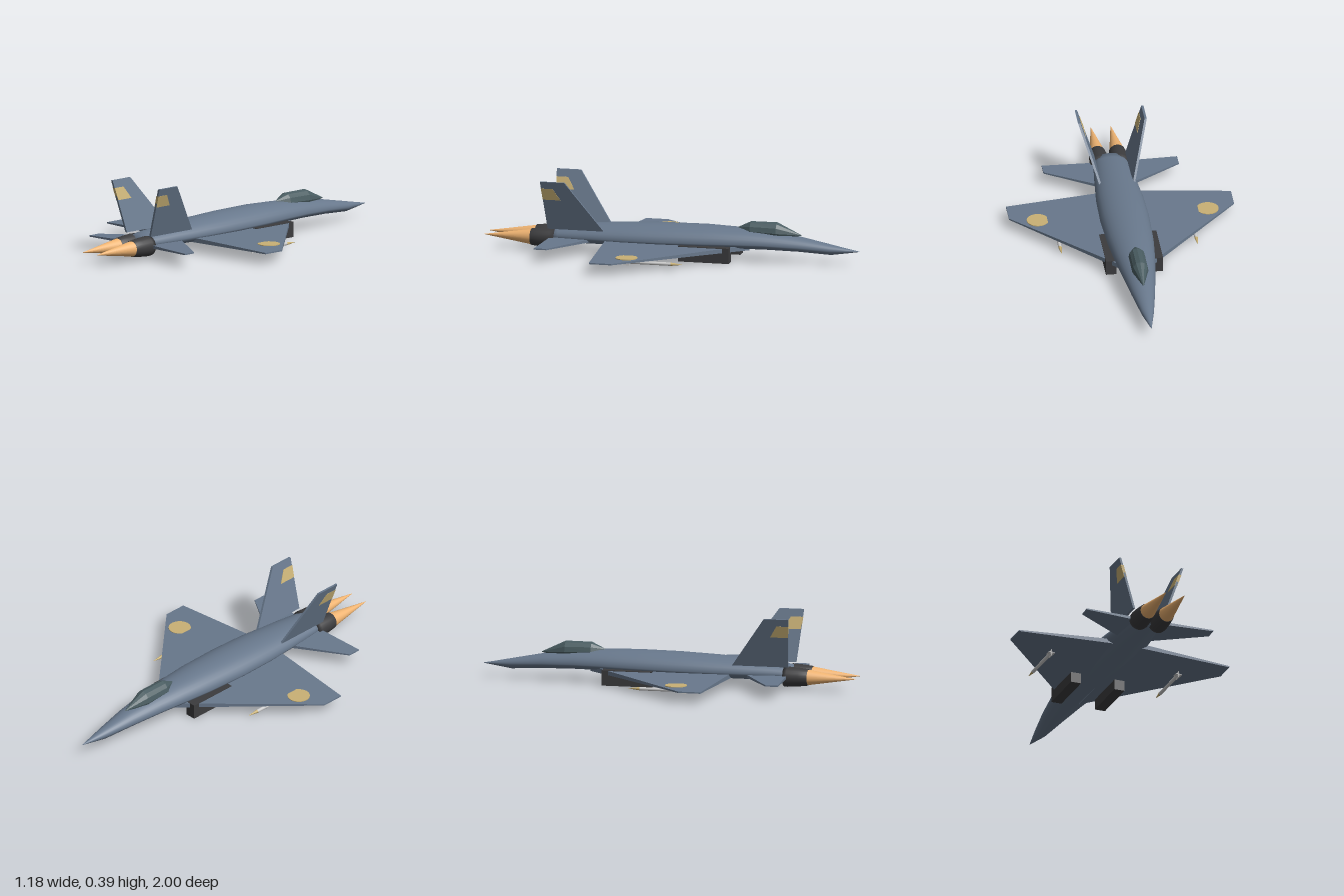
import * as THREE from 'three';
import { ConvexGeometry } from 'three/addons/geometries/ConvexGeometry.js';

const paint = (color, flatShading = false) => new THREE.MeshStandardMaterial({ color, flatShading });
const slate = paint(0x68788c), slateFlat = paint(0x68788c, true);
const glass = paint(0x4a5d62, true), dark = paint(0x3c3c3e);
const flameMat = paint(0xf0b472), gold = paint(0xc9b175), silver = paint(0xc4c4c4);

function add(parent, name, geometry, material, x = 0, y = 0, z = 0) {
  const mesh = new THREE.Mesh(geometry, material);
  mesh.name = name;
  mesh.position.set(x, y, z);
  parent.add(mesh);
  return mesh;
}

// Skin over oval sections [z, halfWidth, centreY, heightAbove, depthBelow]
function loft(sections, sides) {
  const pos = [], index = [];
  sections.forEach(([z, w, y, up, down]) => {
    for (let j = 0; j < sides; j++) {
      const a = (j / sides) * Math.PI * 2, s = Math.sin(a);
      pos.push(Math.cos(a) * w, y + s * (s > 0 ? up : down), z);
    }
  });
  for (let i = 0; i < sections.length - 1; i++) {
    for (let j = 0; j < sides; j++) {
      const k = (j + 1) % sides, r = i * sides, n = r + sides;
      index.push(r + j, r + k, n + k, r + j, n + k, n + j);
    }
  }
  const g = new THREE.BufferGeometry();
  g.setAttribute('position', new THREE.Float32BufferAttribute(pos, 3));
  g.setIndex(index);
  g.computeVertexNormals();
  return g;
}

// Flat tapered panel, corners [x, z, bottomY, topY]
const panel = (side, corners) => new ConvexGeometry(corners.flatMap(([x, z, y0, y1]) =>
  [new THREE.Vector3(side * x, y0, z), new THREE.Vector3(side * x, y1, z)]));

// Outward-leaning upright panel, corners [z, y]
const upright = (side, corners, half) => new ConvexGeometry(corners.flatMap(([z, y]) =>
  [-half, half].map((t) => new THREE.Vector3(side * (0.09 + (y - 0.13) * 0.325 + t), y, z))));

// Turned part along z, points [radius, z]
function turned(points, sides) {
  return new THREE.LatheGeometry(points.map(([r, z]) => new THREE.Vector2(r, z)), sides).rotateX(Math.PI / 2);
}

export function createModel() {
  const jet = new THREE.Group();
  jet.name = 'fighterJet';

  add(jet, 'fuselage', loft([
    [-1, 0.001, 0.07, 0.001, 0.001], [-0.93, 0.016, 0.071, 0.013, 0.013],
    [-0.85, 0.033, 0.074, 0.026, 0.028], [-0.68, 0.062, 0.086, 0.047, 0.03],
    [-0.5, 0.087, 0.093, 0.063, 0.033], [-0.35, 0.106, 0.094, 0.073, 0.035],
    [-0.18, 0.121, 0.092, 0.081, 0.037], [0.05, 0.129, 0.089, 0.081, 0.039],
    [0.25, 0.124, 0.087, 0.075, 0.041], [0.45, 0.107, 0.085, 0.063, 0.041],
    [0.6, 0.092, 0.083, 0.051, 0.04], [0.65, 0.085, 0.081, 0.045, 0.037],
    [0.66, 0.001, 0.081, 0.001, 0.001],
  ], 32), slate);

  add(jet, 'canopy', loft([
    [-0.69, 0.002, 0.14, 0.002, 0.002], [-0.56, 0.043, 0.15, 0.054, 0.03],
    [-0.42, 0.043, 0.155, 0.048, 0.03], [-0.35, 0.004, 0.163, 0.006, 0.01],
  ], 12), glass);

  for (const side of [-1, 1]) {
    const label = side > 0 ? 'left' : 'right';
    const half = new THREE.Group();
    half.name = label + 'Side';
    jet.add(half);

    add(half, 'wing', panel(side, [
      [0.04, -0.42, 0.056, 0.082], [0.59, 0.18, 0.055, 0.062],
      [0.59, 0.3, 0.055, 0.062], [0.04, 0.345, 0.056, 0.082],
    ]), slateFlat);

    // Round wing marking, trimmed on its inner edge
    const disc = new THREE.Shape();
    disc.absarc(0, 0, 0.058, -2.6, 2.6);
    disc.closePath();
    const marking = new THREE.ExtrudeGeometry(disc, { depth: 0.004, bevelEnabled: false, curveSegments: 20 });
    marking.rotateX(-Math.PI / 2);
    if (side < 0) marking.rotateY(Math.PI);
    add(half, 'wingMarking', marking, gold, side * 0.445, 0.0665, 0.135);

    add(half, 'tailplane', panel(side, [
      [0.05, 0.4, 0.063, 0.08], [0.355, 0.59, 0.066, 0.073],
      [0.355, 0.657, 0.066, 0.073], [0.05, 0.638, 0.063, 0.08],
    ]), slateFlat);

    add(half, 'tailFin', upright(side, [[0.35, 0.125], [0.54, 0.39], [0.67, 0.39], [0.65, 0.125]], 0.006), slateFlat);
    add(half, 'finMarking', upright(side, [[0.567, 0.29], [0.605, 0.352], [0.668, 0.352], [0.662, 0.29]], 0.008), gold);

    add(half, 'intake', new THREE.BoxGeometry(0.056, 0.081, 0.27), dark, side * 0.122, 0.0405, -0.2);

    // Engine with flame
    add(half, 'nozzle', turned([[0, 0.62], [0.051, 0.62], [0.053, 0.64], [0.049, 0.7], [0.043, 0.748],
      [0.038, 0.748], [0.036, 0.72], [0, 0.72]].reverse().map(([r, z]) => [r, z]).reverse(), 24),
    dark, side * 0.052, 0.07, 0);
    add(half, 'exhaustFlame', turned([[0.039, 0.735], [0.04, 0.75], [0.001, 1]], 24), flameMat, side * 0.052, 0.07, 0);

    // Missile below the wing
    const missile = new THREE.Group();
    missile.name = 'missile';
    missile.position.set(side * 0.357, 0.028, 0);
    half.add(missile);
    add(missile, 'missileBody', turned([[0, -0.08], [0.009, -0.08], [0.009, 0.17], [0, 0.17]], 12), silver);
    add(missile, 'missileNose', turned([[0.001, -0.14], [0.009, -0.08]], 12), gold);
    for (const turn of [0, Math.PI / 2]) {
      add(missile, 'missileFin', new THREE.BoxGeometry(0.036, 0.003, 0.034), silver, 0, 0, 0.16).rotation.z = turn;
    }
  }
  return jet;
}
